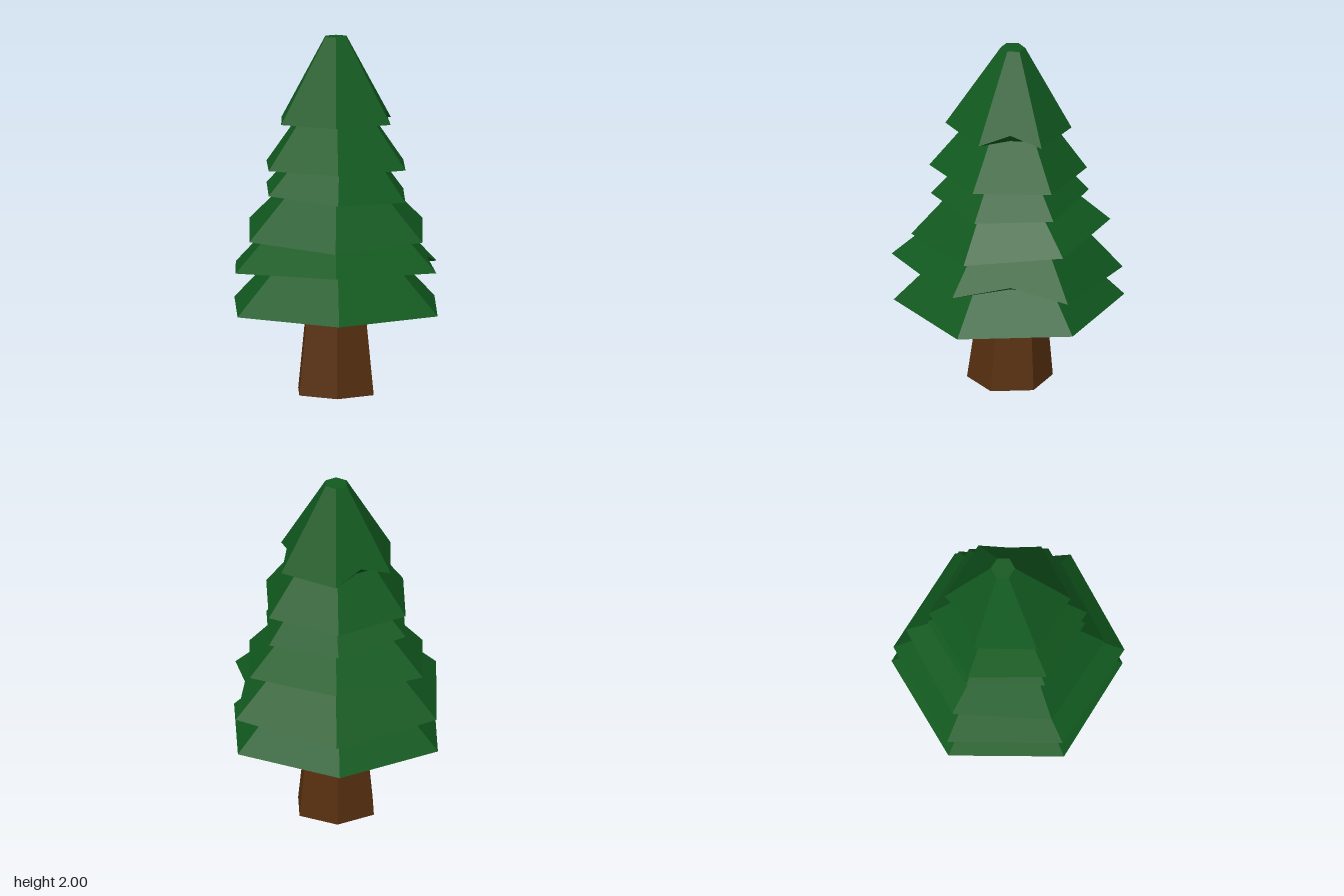
import * as THREE from 'three';

const green = new THREE.MeshStandardMaterial({ color: 0x11591f, flatShading: true });
const brown = new THREE.MeshStandardMaterial({ color: 0x58300f, flatShading: true });

// Hollow hexagonal skirt: 12 steps, where odd steps are the middles of the flat sides.
// notches lists the steps whose lower edge is lifted along the slope.
function tierGeometry(bottomR, topR, height, notches) {
  const profile = [
    [0, height * 0.85], [topR, height * 0.85], [bottomR * 0.71, 0],
    [bottomR, 0], [topR, height], [0, height],
  ].map(([r, y]) => new THREE.Vector2(r, y));
  const lip = 3;
  const lift = 0.058;
  const geometry = new THREE.LatheGeometry(profile, 12);
  const pos = geometry.attributes.position;
  for (let i = 0; i < pos.count; i++) {
    const step = Math.floor(i / profile.length);
    const isLip = i % profile.length === lip;
    let scale = step % 2 ? Math.cos(Math.PI / 6) : 1;
    if (isLip && notches.includes(step)) {
      scale *= 1 - (lift / height) * (1 - topR / bottomR);
      pos.setY(i, lift);
    }
    pos.setX(i, pos.getX(i) * scale);
    pos.setZ(i, pos.getZ(i) * scale);
  }
  geometry.computeVertexNormals();
  return geometry;
}

export function createModel() {
  const tree = new THREE.Group();
  tree.name = 'pineTree';

  // Tapered six-sided trunk, leaning slightly back
  const trunkHeight = 0.5;
  const trunkGeometry = new THREE.CylinderGeometry(0.182, 0.238, trunkHeight, 6);
  trunkGeometry.translate(0, trunkHeight / 2, 0);
  const p = trunkGeometry.attributes.position;
  for (let i = 0; i < p.count; i++) p.setZ(i, p.getZ(i) - 0.005 - 0.03 * p.getY(i));
  trunkGeometry.computeVertexNormals();
  const trunk = new THREE.Mesh(trunkGeometry, brown);
  trunk.name = 'trunk';
  tree.add(trunk);

  // Foliage from bottom to top, each tier tilted a little differently
  const tiers = [
    { y: 0.48, bottomR: 0.64, topR: 0.27, height: 0.37, tilt: [0, 0, 0] },
    { y: 0.703, z: 0.01, bottomR: 0.642, topR: 0.25, height: 0.38, tilt: [-0.075, -0.03, 0], notches: [3] },
    { y: 0.908, z: -0.01, bottomR: 0.553, topR: 0.18, height: 0.37, tilt: [0.068, -0.03, 0] },
    { y: 1.122, z: -0.005, bottomR: 0.438, topR: 0.12, height: 0.36, tilt: [0, 0, -0.053] },
    { y: 1.275, z: 0.005, bottomR: 0.438, topR: 0.11, height: 0.43, tilt: [-0.046, 0, 0] },
    { y: 1.525, z: 0.003, bottomR: 0.35, topR: 0.067, height: 0.473, tilt: [-0.055, -0.03, 0], notches: [3, 7] },
  ];
  tiers.forEach(({ y, z = 0, bottomR, topR, height, tilt, notches = [] }, i) => {
    const tier = new THREE.Mesh(tierGeometry(bottomR, topR, height, notches), green);
    tier.name = `foliageTier${i + 1}`;
    tier.position.set(0, y, z);
    tier.rotation.set(...tilt);
    tree.add(tier);
  });

  return tree;
}
